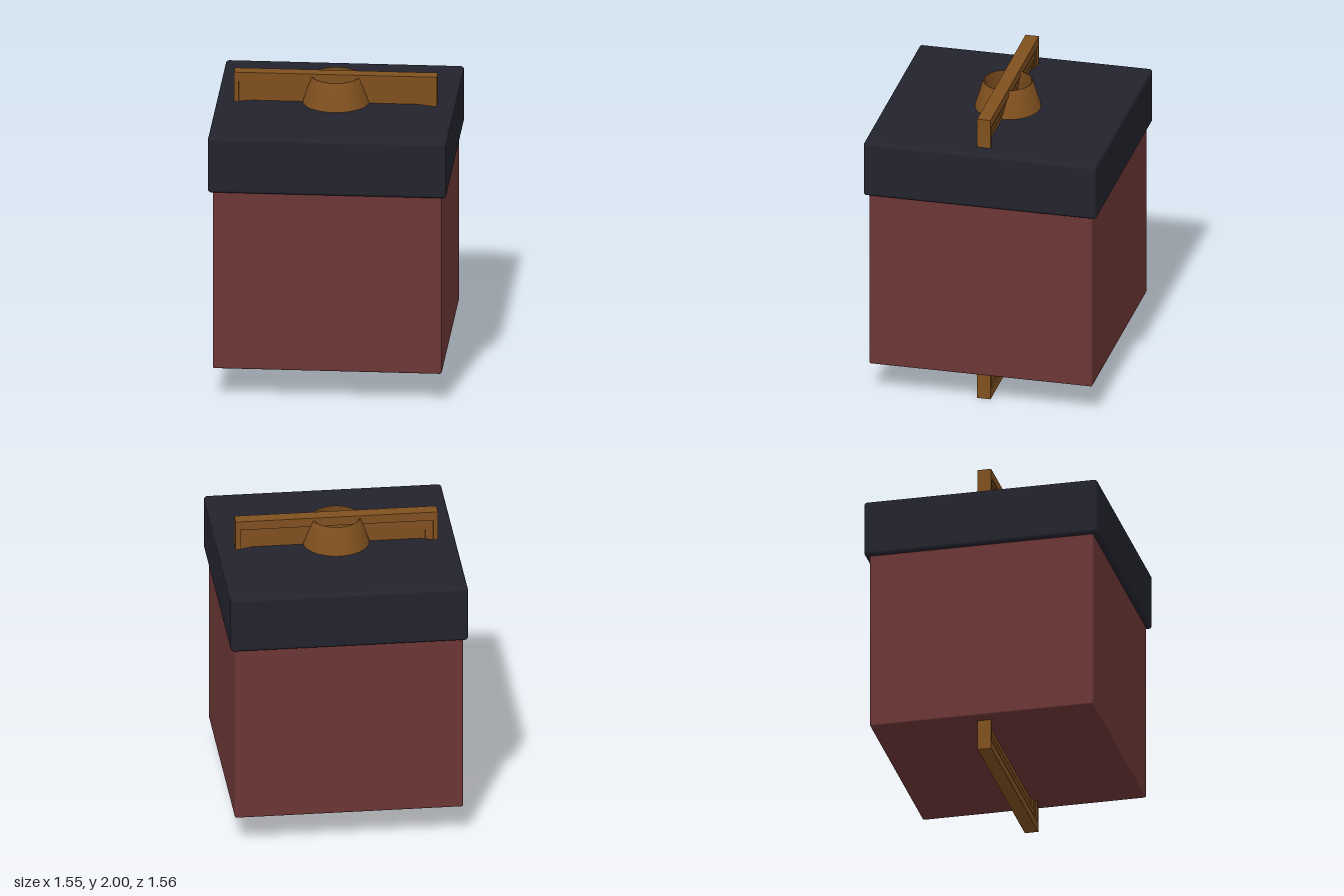
import * as THREE from 'three';
import { RoundedBoxGeometry } from 'three/addons/geometries/RoundedBoxGeometry.js';

export function createModel() {
  const model = new THREE.Group();
  model.name = 'lantern box';

  const material = (name, color, side = THREE.FrontSide) => {
    const m = new THREE.MeshStandardMaterial({ color, side });
    m.name = name;
    return m;
  };
  const red = material('dark red', 0x6d3636);
  const navy = material('dark navy', 0x23232e);
  const bronze = material('bronze brown', 0x80501f, THREE.DoubleSide);

  const add = (name, geometry, mat, y = 0) => {
    const mesh = new THREE.Mesh(geometry, mat);
    mesh.name = name;
    mesh.position.y = y;
    model.add(mesh);
    return mesh;
  };

  // Box body and the wider lid over it
  add('body', new RoundedBoxGeometry(1.49, 1.235, 1.49, 3, 0.012), red, 0.8225);
  add('lid', new RoundedBoxGeometry(1.55, 0.38, 1.556, 3, 0.022), navy, 1.61);

  // Upright board through the box: nested frames stepping inward on both faces
  const W = 0.66, H = 1;
  const insets = [[0, 0], [0.03, 0.06], [0.053, 0.085], [0.08, 0.13], [0.106, 0.16]];
  const halfDepths = [0.045, 0.036, 0.028, 0.02, 0.012];
  const rectangle = (path, [dx, dy]) => {
    const x = W - dx, y = H - dy;
    path.moveTo(-x, -y);
    path.lineTo(x, -y);
    path.lineTo(x, y);
    path.lineTo(-x, y);
    path.closePath();
    return path;
  };
  insets.forEach((inset, i) => {
    const shape = rectangle(new THREE.Shape(), inset);
    const inner = insets[i + 1];
    if (inner) shape.holes.push(rectangle(new THREE.Path(), inner));
    const depth = halfDepths[i] * 2;
    const geometry = new THREE.ExtrudeGeometry(shape, { depth, bevelEnabled: false });
    geometry.translate(0, 0, -depth / 2);
    add(inner ? `boardFrame${i + 1}` : 'boardPanel', geometry, bronze, H);
  });

  // Open tapered collar on the lid, with a small stud inside
  const collar = [[0.219, 1.78], [0.214, 1.81], [0.19, 1.89], [0.163, 1.98], [0.154, 1.98], [0.18, 1.89], [0.205, 1.79]]
    .map(([r, y]) => new THREE.Vector2(r, y));
  add('collar', new THREE.LatheGeometry(collar, 40), bronze);
  add('stud', new THREE.CylinderGeometry(0.035, 0.065, 0.1, 24), bronze, 1.84);

  return model;
}
